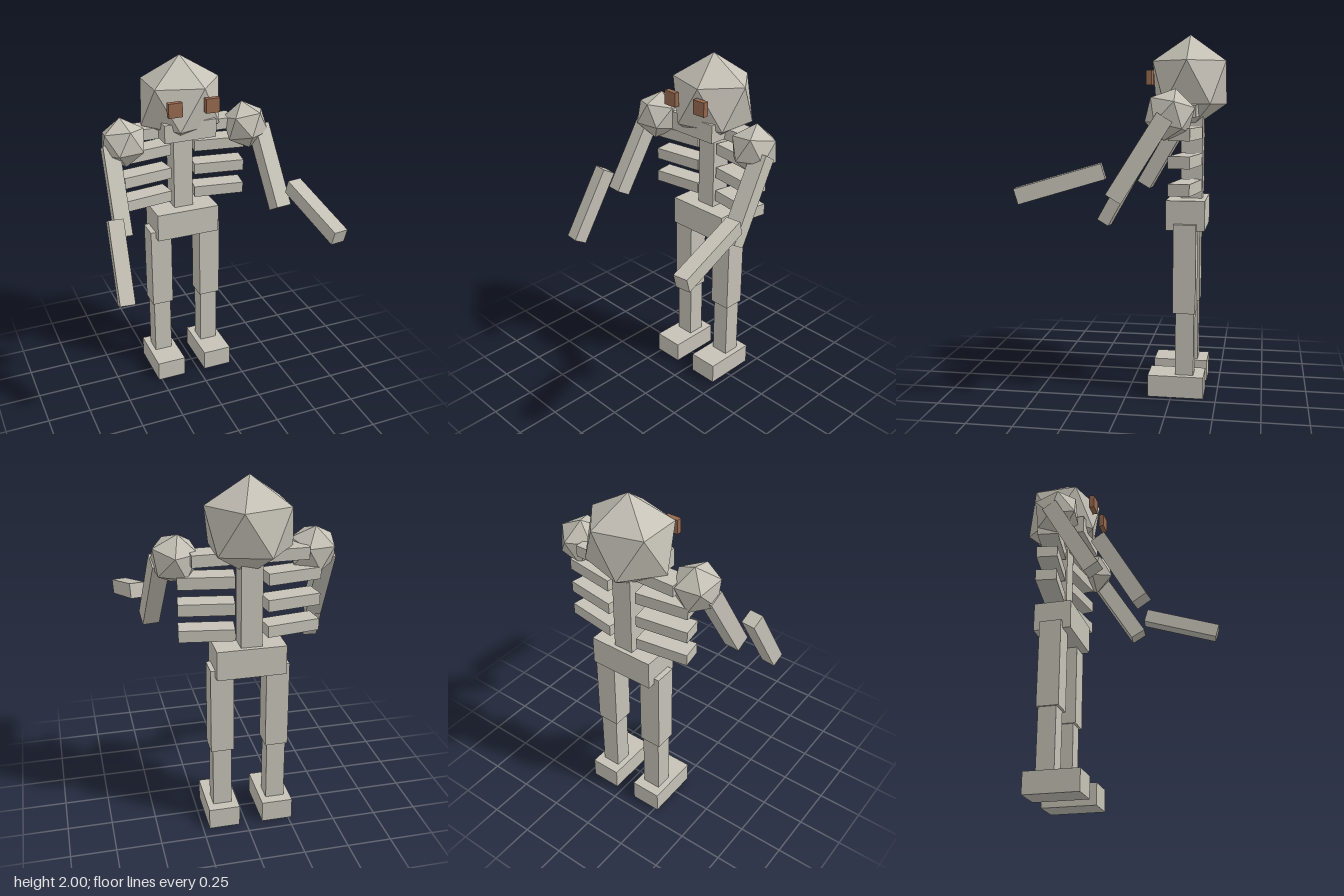
import * as THREE from 'three';

const bone = new THREE.MeshStandardMaterial({ name: 'bone', color: 0xc6c2b7, flatShading: true });
const brown = new THREE.MeshStandardMaterial({ name: 'brown', color: 0x96694f, flatShading: true });

const MID = -0.0275; // body axis
const TILT = Math.atan(2 / (1 + Math.sqrt(5))); // turns an icosahedron onto a vertex

export function createModel() {
  const model = new THREE.Group();
  model.name = 'skeleton';

  const add = (name, geometry, material = bone) => {
    const mesh = new THREE.Mesh(geometry, material);
    mesh.name = name;
    model.add(mesh);
    return mesh;
  };

  // Box given by its limits on each axis
  const box = (name, [x0, x1], [y0, y1], [z0, z1], material) =>
    add(name, new THREE.BoxGeometry(x1 - x0, y1 - y0, z1 - z0), material)
      .position.set((x0 + x1) / 2, (y0 + y1) / 2, (z0 + z1) / 2);

  // Square bar between two points
  const bar = (name, from, to, size) => {
    const a = new THREE.Vector3(...from), b = new THREE.Vector3(...to);
    const dir = a.clone().sub(b).normalize();
    const back = new THREE.Vector3(0, 1, 0).cross(dir).normalize();
    const basis = new THREE.Matrix4().makeBasis(back, dir, back.clone().cross(dir));
    const mesh = add(name, new THREE.BoxGeometry(size, a.distanceTo(b), size));
    mesh.quaternion.setFromRotationMatrix(basis);
    mesh.position.copy(a).add(b).multiplyScalar(0.5);
  };

  // Skull
  const skull = new THREE.IcosahedronGeometry(0.261, 0);
  skull.rotateZ(-TILT);
  skull.scale(1, 1, 0.905);
  add('skull', skull).position.set(MID, 1.739, -0.322);
  box('jaw', [-0.18, 0.125], [1.56, 1.665], [-0.36, -0.155]);

  // Torso
  box('collarbone', [-0.335, 0.28], [1.555, 1.62], [-0.38, -0.26]);
  box('spine', [-0.085, 0.03], [1.08, 1.62], [-0.4, -0.28]);
  box('pelvis', [-0.215, 0.165], [0.935, 1.1], [-0.425, -0.21]);

  for (const s of [-1, 1]) {
    const side = s > 0 ? 'left' : 'right';
    const span = (centre, width) => [MID + s * centre - width / 2, MID + s * centre + width / 2];

    // Eye
    box(side + 'Eye', span(0.108, 0.08), [1.725, 1.806], [-0.125, -0.094], brown);

    // Ribs, swept slightly forward
    for (const y of [1.177, 1.322, 1.467]) {
      const rib = add(side + 'Rib', new THREE.BoxGeometry(0.295, 0.065, 0.117));
      rib.position.set(MID + s * 0.226, y, -0.32);
      rib.rotation.y = -s * 0.15;
    }

    // Leg
    box(side + 'Thigh', span(0.154, 0.128), [0.475, 0.972], [-0.38, -0.255]);
    box(side + 'Shin', span(0.154, 0.106), [0.11, 0.48], [-0.372, -0.27]);
    box(side + 'Foot', span(0.154, 0.175), [0, 0.122], [-0.43, -0.12]);

    // Shoulder
    const ball = new THREE.IcosahedronGeometry(0.138, 0);
    ball.rotateZ(-TILT + 0.24);
    ball.rotateY(-THREE.MathUtils.degToRad(s > 0 ? 63 : 82));
    add(side + 'Shoulder', ball).position.set(s > 0 ? 0.347 : -0.39, s > 0 ? 1.57 : 1.567, -0.25);
  }

  // Arms, each in its own pose
  bar('leftUpperArm', [0.42, 1.56, -0.232], [0.452, 1.142, 0.028], 0.093);
  bar('leftForearm', [0.504, 1.29, 0.068], [0.563, 1.16, 0.508], 0.083);
  bar('rightUpperArm', [-0.464, 1.552, -0.255], [-0.484, 1.12, -0.005], 0.09);
  bar('rightForearm', [-0.542, 1.259, 0.047], [-0.565, 0.862, 0.272], 0.083);

  return model;
}
